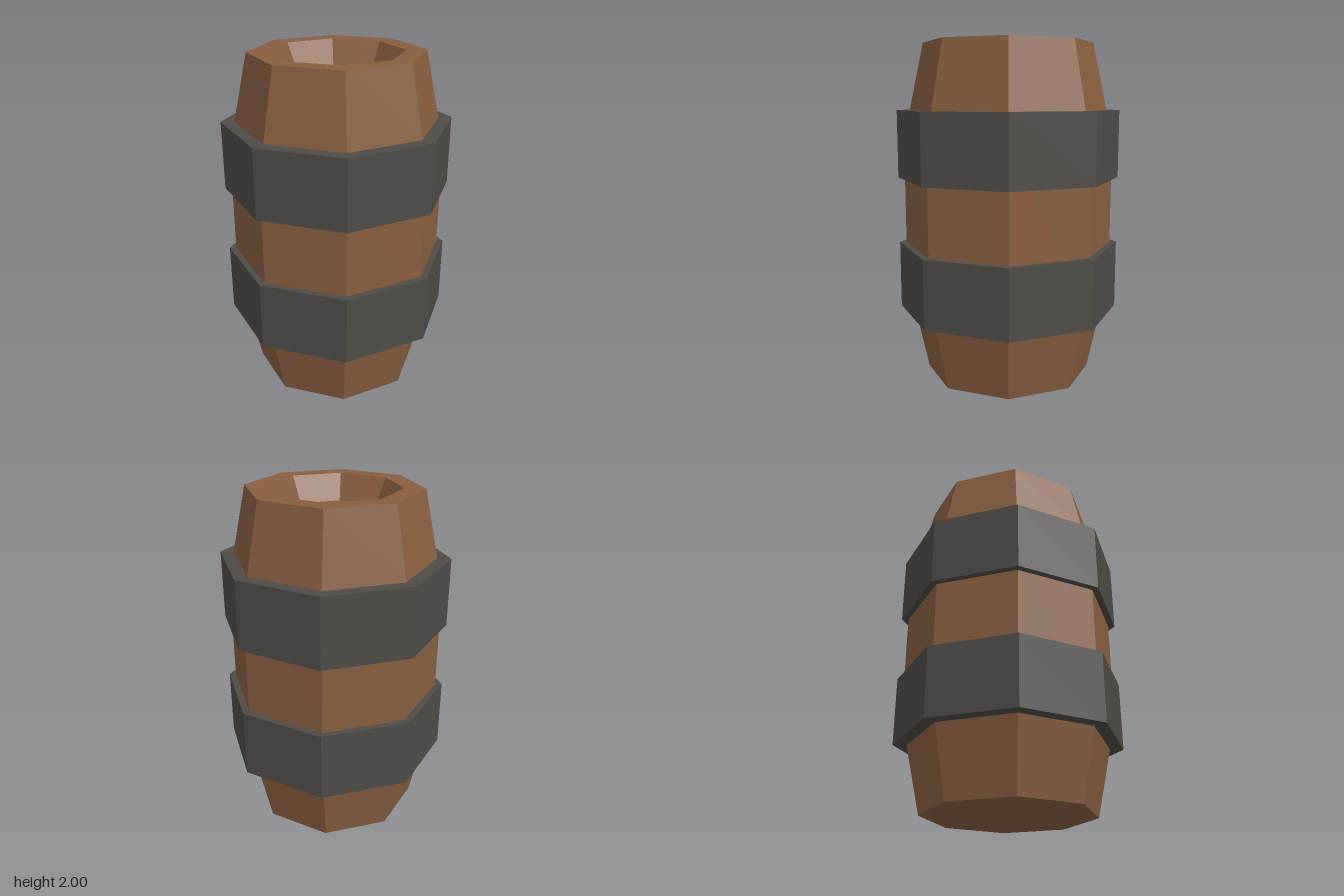
import * as THREE from 'three';

const SIDES = 8;

// Revolves an [radius, height] outline into a faceted eight-sided solid.
function facetedLathe(name, outline, material) {
  const points = outline.map(([r, y]) => new THREE.Vector2(r, y));
  const geometry = new THREE.LatheGeometry(points, SIDES).toNonIndexed();
  geometry.computeVertexNormals();
  const mesh = new THREE.Mesh(geometry, material);
  mesh.name = name;
  return mesh;
}

export function createModel() {
  const wood = new THREE.MeshStandardMaterial({ color: 0x885f40 });
  wood.name = 'brown wood';
  const iron = new THREE.MeshStandardMaterial({ color: 0x4e4b46 });
  iron.name = 'dark iron';

  const barrel = new THREE.Group();
  barrel.name = 'barrel';

  // Wooden body: flat base, tapered ends, straight middle and recessed lid
  barrel.add(facetedLathe('woodenBody', [
    [0, 0], [0.5, 0], [0.588, 0.4], [0.627, 0.6],
    [0.627, 1.4], [0.588, 1.61], [0.503, 2],
    [0.385, 2], [0.315, 1.85], [0, 1.85],
  ], wood));

  // Two iron hoops
  const hoops = [['lowerHoop', 0.397, 0.802], ['upperHoop', 1.203, 1.608]];
  for (const [name, bottom, top] of hoops) {
    barrel.add(facetedLathe(name, [
      [0.56, bottom], [0.667, bottom], [0.667, top], [0.56, top],
    ], iron));
  }

  return barrel;
}
